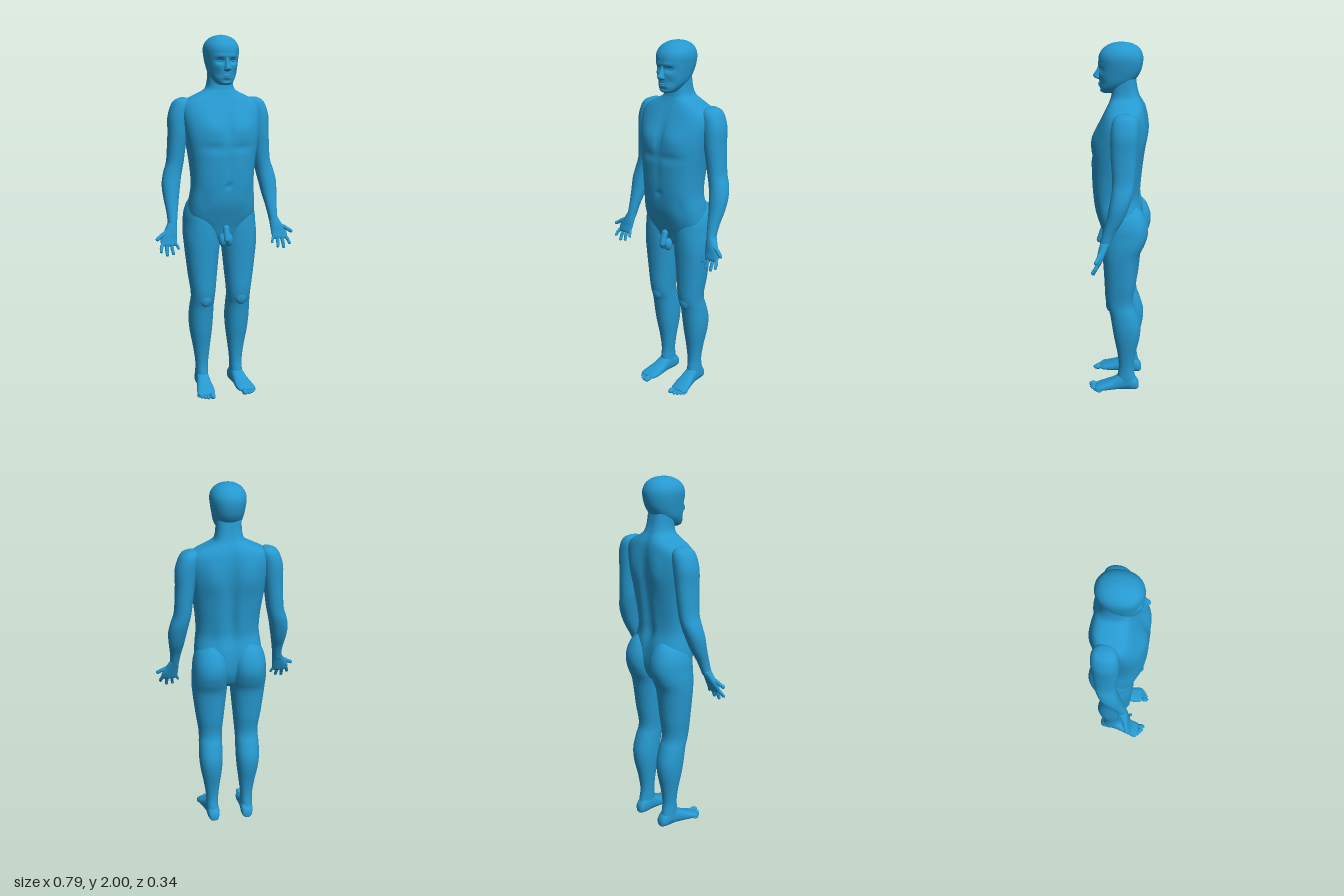
import * as THREE from 'three';

const skin = new THREE.MeshStandardMaterial({ color: 0x2699d0 });
skin.name = 'blue';

function add(parent, name, geometry) {
  const mesh = new THREE.Mesh(geometry, skin);
  mesh.name = name;
  parent.add(mesh);
  return mesh;
}

// Smooth body through horizontal rings [x, y, halfWidth, zFront, zBack], listed upwards.
// n squares off the section, sculpt(v) may shift each vertex, side mirrors x.
function loft(rings, { n = 2.2, side = 1, sculpt = null, segments = 48, steps = 5 } = {}) {
  const a = new THREE.CatmullRomCurve3(rings.map(r => new THREE.Vector3(r[0] * side, r[1], r[2])), false, 'catmullrom');
  const b = new THREE.CatmullRomCurve3(rings.map(r => new THREE.Vector3(r[3], r[4], 0)), false, 'catmullrom');
  const rows = (rings.length - 1) * steps, pos = [], index = [];
  const power = c => Math.sign(c) * Math.abs(c) ** (2 / n);
  for (let i = 0; i <= rows; i++) {
    const p = a.getPoint(i / rows), q = b.getPoint(i / rows);
    for (let j = 0; j < segments; j++) {
      const t = j / segments * Math.PI * 2;
      const v = new THREE.Vector3(p.x + p.z * power(Math.cos(t)), p.y,
        (q.x + q.y) / 2 + (q.x - q.y) / 2 * power(Math.sin(t)));
      if (sculpt) sculpt(v, Math.sin(t));
      pos.push(v.x, v.y, v.z);
      if (i < rows) {
        const k = i * segments + j, l = i * segments + (j + 1) % segments;
        index.push(k, k + segments, l, l, k + segments, l + segments);
      }
    }
  }
  // End caps
  const count = pos.length / 3, top = rows * segments;
  for (const i of [0, rows]) {
    const p = a.getPoint(i / rows), q = b.getPoint(i / rows);
    pos.push(p.x, p.y, (q.x + q.y) / 2);
  }
  for (let j = 0; j < segments; j++) {
    const k = (j + 1) % segments;
    index.push(count, j, k, count + 1, top + k, top + j);
  }
  const g = new THREE.BufferGeometry();
  g.setAttribute('position', new THREE.Float32BufferAttribute(pos, 3));
  g.setIndex(index);
  g.computeVertexNormals();
  return g;
}

function ellipsoid(parent, name, [x, y, z], [rx, ry, rz]) {
  const mesh = add(parent, name, new THREE.SphereGeometry(1, 24, 16).scale(rx, ry, rz));
  mesh.position.set(x, y, z);
  return mesh;
}

// Round-ended rod between two points
function rod(parent, name, from, to, r) {
  const a = new THREE.Vector3(...from), b = new THREE.Vector3(...to), d = b.clone().sub(a);
  const mesh = add(parent, name, new THREE.CapsuleGeometry(r, d.length(), 6, 14));
  mesh.position.copy(a).add(b).multiplyScalar(0.5);
  mesh.quaternion.setFromUnitVectors(new THREE.Vector3(0, 1, 0), d.normalize());
}

const bump = (v, x, y, sx, sy) => Math.exp(-(((Math.abs(v.x) - x) / sx) ** 2) - ((v.y - y) / sy) ** 2);

// Chest, navel, spine and shoulder blade relief
function sculptTorso(v, facing) {
  if (facing > 0) {
    v.z += facing * (0.014 * bump(v, 0.085, 1.51, 0.07, 0.06) - 0.01 * bump(v, 0, 1.52, 0.016, 0.09)
      - 0.008 * bump(v, 0.08, 1.405, 0.08, 0.022) - 0.012 * bump(v, 0, 1.2, 0.012, 0.014)
      - 0.005 * bump(v, 0, 1.32, 0.014, 0.1) - 0.008 * bump(v, 0.13, 1.12, 0.03, 0.06));
  } else {
    v.z -= facing * (0.024 * bump(v, 0, 1.38, 0.028, 0.24));
    v.z += facing * (0.012 * bump(v, 0.1, 1.53, 0.05, 0.09) + 0.006 * bump(v, 0.06, 1.22, 0.03, 0.1));
  }
}

// Eye sockets, brow, cheeks and chin
function sculptHead(v, facing) {
  if (facing <= 0) return;
  v.z += facing * (-0.016 * bump(v, 0.036, 1.862, 0.02, 0.013) + 0.005 * bump(v, 0.03, 1.888, 0.035, 0.01)
    + 0.005 * bump(v, 0.05, 1.835, 0.02, 0.02) - 0.007 * bump(v, 0.05, 1.79, 0.02, 0.025)
    - 0.006 * bump(v, 0, 1.76, 0.025, 0.008));
}

function buildArm(side) {
  const arm = new THREE.Group();
  arm.name = side > 0 ? 'leftArm' : 'rightArm';
  add(arm, 'armAndForearm', loft([
    [0.295, 0.975, 0.025, 0.076, 0.026], [0.292, 1.0, 0.025, 0.073, 0.016], [0.288, 1.06, 0.031, 0.058, -0.01],
    [0.285, 1.13, 0.042, 0.04, -0.05], [0.28, 1.2, 0.05, 0.027, -0.078], [0.268, 1.26, 0.05, 0.016, -0.096],
    [0.252, 1.32, 0.047, 0.013, -0.104], [0.243, 1.4, 0.049, 0.018, -0.11], [0.235, 1.48, 0.053, 0.024, -0.114],
    [0.229, 1.56, 0.058, 0.024, -0.119], [0.217, 1.62, 0.053, 0.018, -0.117], [0.208, 1.652, 0.042, 0.004, -0.105],
    [0.2, 1.668, 0.018, -0.025, -0.08]], { side, segments: 32 }));
  add(arm, 'palm', loft([
    [0.32, 0.88, 0.036, 0.092, 0.072], [0.321, 0.892, 0.044, 0.094, 0.064], [0.318, 0.92, 0.045, 0.088, 0.052],
    [0.305, 0.96, 0.035, 0.082, 0.036], [0.293, 1.0, 0.025, 0.072, 0.018]], { side, segments: 32 }));
  // Fingers and thumb: base, joint, tip, radius
  const digits = {
    indexFinger: [[0.353, 0.9, 0.076], [0.366, 0.873, 0.094], [0.37, 0.857, 0.106], 0.0095],
    middleFinger: [[0.331, 0.895, 0.076], [0.336, 0.86, 0.095], [0.336, 0.837, 0.105], 0.01],
    ringFinger: [[0.308, 0.895, 0.076], [0.305, 0.863, 0.093], [0.302, 0.842, 0.102], 0.0095],
    littleFinger: [[0.288, 0.9, 0.074], [0.277, 0.88, 0.087], [0.271, 0.866, 0.094], 0.008],
    thumb: [[0.318, 0.96, 0.062], [0.36, 0.937, 0.074], [0.385, 0.921, 0.085], 0.0115],
  };
  for (const [name, [a, b, c, r]] of Object.entries(digits)) {
    const [p, q, t] = [a, b, c].map(([x, y, z]) => [x * side, y, z]);
    rod(arm, name, p, q, r);
    rod(arm, name + 'Tip', q, t, r * 0.9);
  }
  return arm;
}

function buildLeg(side) {
  const leg = new THREE.Group();
  leg.name = side > 0 ? 'leftLeg' : 'rightLeg';
  add(leg, 'legAndButtock', loft([
    [0.103, 0.03, 0.034, -0.01, -0.11], [0.104, 0.08, 0.035, 0.002, -0.102], [0.103, 0.15, 0.036, -0.006, -0.092],
    [0.104, 0.24, 0.047, 0.002, -0.103], [0.107, 0.34, 0.062, 0.02, -0.125], [0.108, 0.42, 0.068, 0.032, -0.129],
    [0.107, 0.5, 0.067, 0.045, -0.108], [0.105, 0.55, 0.066, 0.062, -0.09], [0.105, 0.6, 0.07, 0.07, -0.088],
    [0.107, 0.68, 0.08, 0.073, -0.1], [0.108, 0.78, 0.091, 0.078, -0.11], [0.108, 0.86, 0.099, 0.083, -0.122],
    [0.107, 0.92, 0.102, 0.085, -0.148], [0.105, 0.98, 0.1, 0.085, -0.166], [0.103, 1.04, 0.096, 0.08, -0.162],
    [0.1, 1.1, 0.076, 0.06, -0.136], [0.095, 1.14, 0.03, 0.02, -0.1]], { side }));
  // Foot: rings run from heel to toes, then are laid flat
  add(leg, 'foot', loft([
    [0.1, -0.122, 0.012, -0.012, -0.04], [0.1, -0.112, 0.028, -0.004, -0.065], [0.101, -0.08, 0.036, 0, -0.095],
    [0.104, -0.03, 0.036, 0, -0.105], [0.109, 0.02, 0.042, 0, -0.075], [0.115, 0.07, 0.05, 0, -0.05],
    [0.121, 0.11, 0.05, -0.002, -0.034], [0.122, 0.128, 0.04, -0.008, -0.025]],
  { side, segments: 32, n: 2.4 }).rotateX(Math.PI / 2));
  // Toes
  const toes = [[0.096, 0.145, 0.016, 0.026], [0.12, 0.141, 0.011, 0.024], [0.137, 0.132, 0.01, 0.022],
    [0.152, 0.12, 0.01, 0.02], [0.164, 0.105, 0.009, 0.019]];
  toes.forEach(([x, z, r, length], i) =>
    ellipsoid(leg, 'toe' + (i + 1), [x * side, r * 0.95, z], [r, r * 0.95, length]));
  // Kneecap
  ellipsoid(leg, 'kneecap', [0.103 * side, 0.55, 0.045], [0.034, 0.045, 0.022]);
  return leg;
}

function buildHead() {
  const head = new THREE.Group();
  head.name = 'head';
  add(head, 'skullAndFace', loft([
    [0, 1.737, 0.026, 0.09, 0.03], [0, 1.746, 0.042, 0.102, 0.005], [0, 1.77, 0.06, 0.107, -0.03],
    [0, 1.8, 0.074, 0.107, -0.075], [0, 1.84, 0.083, 0.108, -0.105], [0, 1.88, 0.09, 0.109, -0.119],
    [0, 1.92, 0.094, 0.11, -0.123], [0, 1.95, 0.088, 0.099, -0.115], [0, 1.976, 0.069, 0.074, -0.095],
    [0, 1.993, 0.04, 0.038, -0.06], [0, 2.0, 0.005, 0, -0.018]], { segments: 80, steps: 8, sculpt: sculptHead }));
  add(head, 'nose', loft([
    [0, 1.808, 0.01, 0.118, 0.09], [0, 1.816, 0.02, 0.134, 0.09], [0, 1.828, 0.016, 0.139, 0.09],
    [0, 1.855, 0.01, 0.122, 0.09], [0, 1.885, 0.009, 0.11, 0.09]], { n: 2, segments: 24 }));
  ellipsoid(head, 'upperLip', [0, 1.786, 0.105], [0.024, 0.005, 0.009]);
  ellipsoid(head, 'lowerLip', [0, 1.776, 0.104], [0.02, 0.006, 0.009]);
  for (const s of [-1, 1]) ellipsoid(head, 'eye', [0.035 * s, 1.862, 0.08], [0.014, 0.008, 0.012]);
  return head;
}

export function createModel() {
  const figure = new THREE.Group();
  figure.name = 'standingFigure';
  add(figure, 'torsoAndNeck', loft([
    [0, 0.87, 0.03, 0.03, -0.06], [0, 0.9, 0.09, 0.065, -0.095], [0, 0.96, 0.15, 0.085, -0.122],
    [0, 1.02, 0.185, 0.105, -0.13], [0, 1.1, 0.184, 0.13, -0.125], [0, 1.18, 0.174, 0.141, -0.108],
    [0, 1.25, 0.175, 0.146, -0.112], [0, 1.33, 0.183, 0.148, -0.124], [0, 1.42, 0.197, 0.148, -0.136],
    [0, 1.5, 0.21, 0.134, -0.145], [0, 1.58, 0.22, 0.106, -0.145], [0, 1.63, 0.212, 0.083, -0.14],
    [0, 1.66, 0.183, 0.068, -0.134], [0, 1.68, 0.143, 0.058, -0.127], [0, 1.7, 0.1, 0.05, -0.118],
    [0, 1.72, 0.077, 0.044, -0.108], [0, 1.76, 0.068, 0.04, -0.095], [0, 1.82, 0.066, 0.04, -0.085]],
  { n: 2.5, segments: 96, steps: 6, sculpt: sculptTorso }));
  figure.add(buildHead());
  for (const side of [-1, 1]) figure.add(buildArm(side), buildLeg(side));
  // Simple groin anatomy
  rod(figure, 'groinFront', [0, 0.96, 0.092], [0, 0.9, 0.112], 0.018);
  for (const s of [-1, 1]) ellipsoid(figure, 'groinSide', [0.018 * s, 0.893, 0.085], [0.022, 0.036, 0.024]);
  return figure;
}
